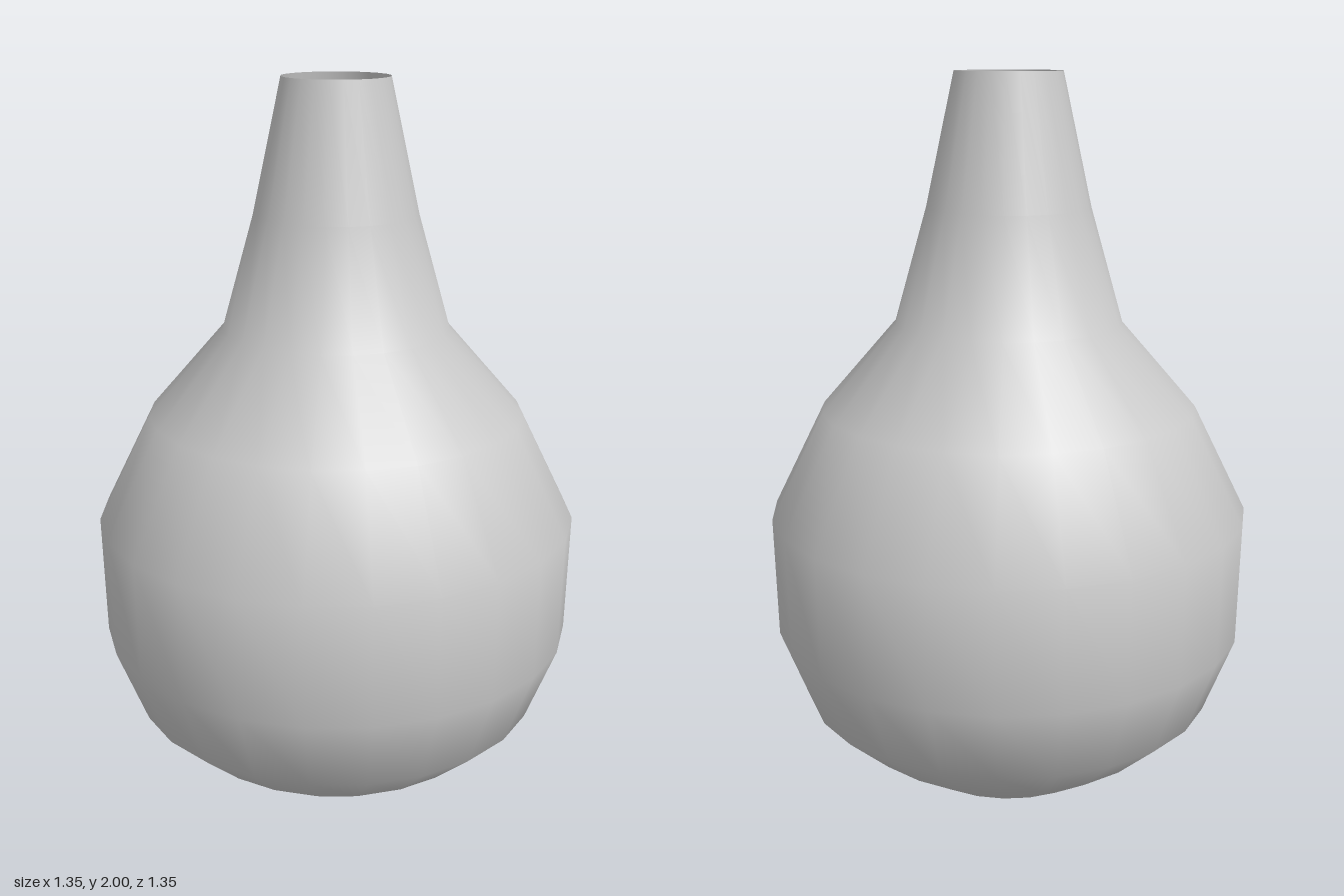
import * as THREE from 'three';

export function createModel() {
  const group = new THREE.Group();
  group.name = 'vase';

  // Thin open shell: round belly, sloping shoulder, tapering neck
  const profile = [
    [0.287, 0], [0.455, 0.11], [0.583, 0.225], [0.668, 0.445], [0.675, 0.785],
    [0.525, 1.085], [0.316, 1.325], [0.226, 1.64], [0.147, 2],
  ].map(([r, y]) => new THREE.Vector2(r, y));

  const material = new THREE.MeshStandardMaterial({ color: 0xcccccc, side: THREE.DoubleSide });
  const body = new THREE.Mesh(new THREE.LatheGeometry(profile, 24), material);
  body.name = 'vaseBody';
  group.add(body);

  return group;
}
